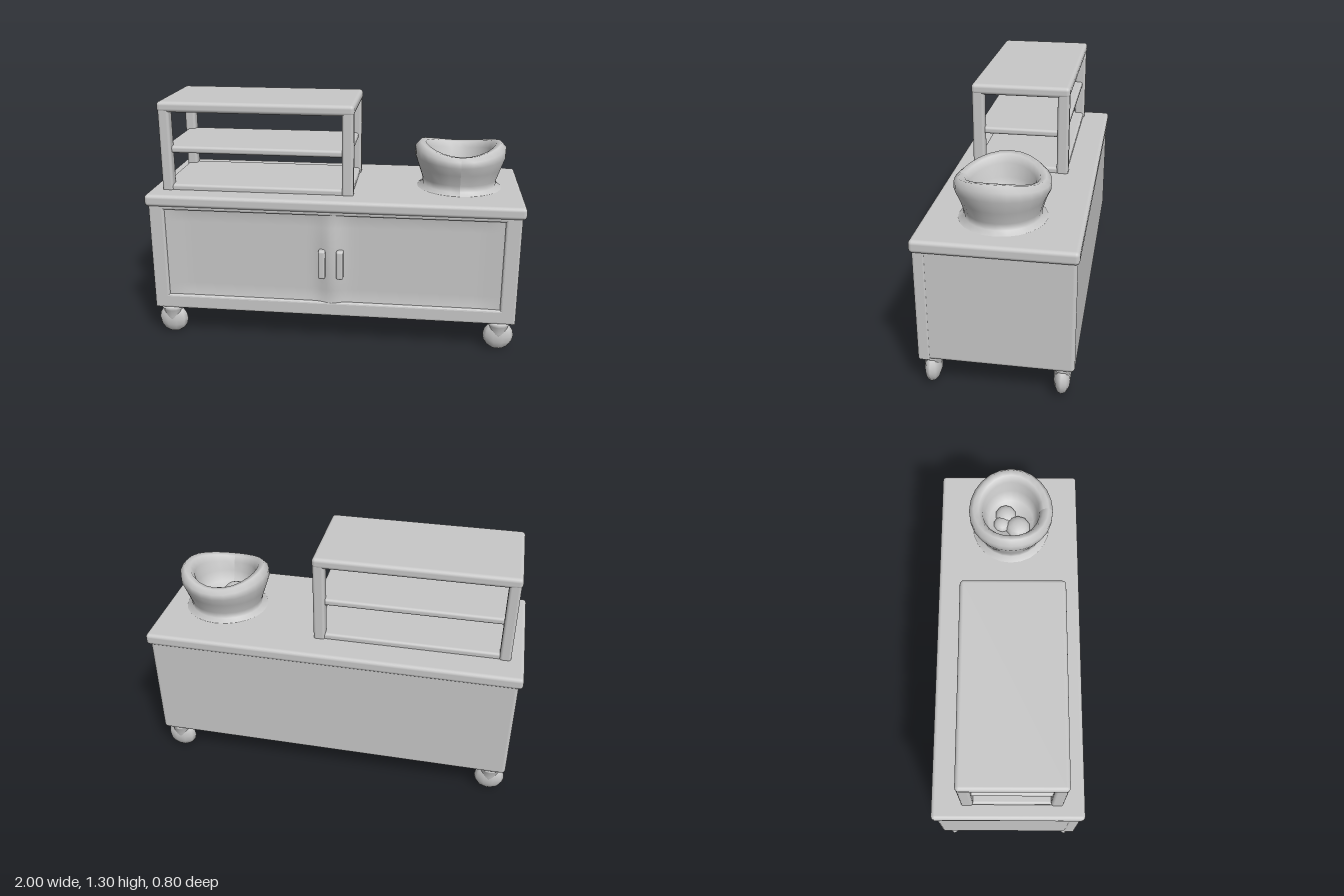
import * as THREE from 'three';
import { RoundedBoxGeometry } from 'three/addons/geometries/RoundedBoxGeometry.js';

const grey = new THREE.MeshStandardMaterial({ color: 0xc8c8c8 });
grey.name = 'plain grey';

function add(parent, name, geometry, x = 0, y = 0, z = 0) {
  const mesh = new THREE.Mesh(geometry, grey);
  mesh.name = name;
  mesh.position.set(x, y, z);
  parent.add(mesh);
  return mesh;
}

// Soft-edged box given by its limits on each axis
function block(parent, name, [x0, x1], [y0, y1], [z0, z1], r) {
  return add(parent, name, new RoundedBoxGeometry(x1 - x0, y1 - y0, z1 - z0, 3, r),
    (x0 + x1) / 2, (y0 + y1) / 2, (z0 + z1) / 2);
}

const lathe = (points, sides) =>
  new THREE.LatheGeometry(points.map(([r, y]) => new THREE.Vector2(r, y)), sides);

function rectangle(Type, x0, x1, y0, y1) {
  const p = new Type();
  p.moveTo(x0, y0);
  p.lineTo(x1, y0);
  p.lineTo(x1, y1);
  p.lineTo(x0, y1);
  p.closePath();
  return p;
}

function buildCabinet() {
  const cabinet = new THREE.Group();
  cabinet.name = 'cabinet';
  block(cabinet, 'body', [-0.98, 0.98], [0.165, 0.79], [-0.39, 0.345], 0.02);
  block(cabinet, 'counter', [-1, 1], [0.755, 0.82], [-0.4, 0.385], 0.02);

  // Raised frame around the doors
  const outline = rectangle(THREE.Shape, -0.97, 0.97, 0.178, 0.77);
  outline.holes.push(rectangle(THREE.Path, -0.91, 0.91, 0.235, 0.75));
  add(cabinet, 'door frame', new THREE.ExtrudeGeometry(outline, {
    depth: 0.04, bevelEnabled: true, bevelSize: 0.012, bevelThickness: 0.012, bevelSegments: 3,
  }), 0, 0, 0.323);

  // Two doors in one soft surface, swelling where they meet
  const doors = new THREE.PlaneGeometry(1.84, 0.53, 72, 12);
  const p = doors.attributes.position;
  for (let i = 0; i < p.count; i++) {
    const x = p.getX(i), y = p.getY(i);
    const ridge = Math.exp(-((x / 0.06) ** 2)) * (1 - (y / 0.34) ** 2);
    const edge = Math.max(Math.abs(x) / 0.92, Math.abs(y) / 0.265);
    p.setZ(i, 0.03 * ridge + 0.01 * Math.max(0, edge - 0.85) / 0.15);
  }
  doors.computeVertexNormals();
  add(cabinet, 'doors', doors, 0, 0.493, 0.353);

  for (const s of [-1, 1]) {
    const x = s * 0.048;
    block(cabinet, 'door handle', [x - 0.019, x + 0.019], [0.39, 0.55], [0.35, 0.402], 0.012);
  }
  return cabinet;
}

function buildRack() {
  const rack = new THREE.Group();
  rack.name = 'display rack';
  for (const [x0, x1] of [[-0.93, -0.87], [0.045, 0.107]]) {
    for (const [z0, z1] of [[-0.248, -0.185], [0.21, 0.275]]) {
      block(rack, 'post', [x0, x1], [0.81, 1.28], [z0, z1], 0.015);
    }
  }
  block(rack, 'rack top', [-0.935, 0.11], [1.243, 1.3], [-0.25, 0.278], 0.02);
  block(rack, 'middle shelf', [-0.915, 0.09], [1.02, 1.057], [-0.23, 0.255], 0.014);
  block(rack, 'bottom shelf', [-0.925, 0.1], [0.81, 0.85], [-0.24, 0.268], 0.014);
  return rack;
}

function buildBowl() {
  const bowl = new THREE.Group();
  bowl.name = 'bowl';
  const shell = lathe([
    [0.235, 0.815], [0.195, 0.835], [0.198, 0.87], [0.218, 0.93], [0.24, 0.985], [0.24, 1.025],
    [0.215, 1.05], [0.185, 1.045], [0.165, 1.01], [0.155, 0.95], [0.13, 0.89], [0.001, 0.875],
  ], 24);
  // The rim rises toward both ends and dips at front and back
  const p = shell.attributes.position;
  for (let i = 0; i < p.count; i++) {
    const x = p.getX(i), y = p.getY(i), z = p.getZ(i);
    const lift = Math.max(0, (y - 0.93) / 0.12);
    const a = Math.atan2(z, x);
    p.setY(i, y + lift * 0.022 * Math.cos(2 * a));
    p.setX(i, x * 1.02);
    p.setZ(i, z * 0.97);
  }
  shell.computeVertexNormals();
  add(bowl, 'bowl shell', shell);

  // Lumpy heap in the bottom
  for (const [x, z, r] of [[-0.04, 0.04, 0.07], [0.04, -0.03, 0.06], [-0.02, -0.05, 0.05]]) {
    add(bowl, 'filling', new THREE.SphereGeometry(r, 10, 8), x, 0.88, z).scale.y = 0.7;
  }
  bowl.position.set(0.665, 0, 0.003);
  return bowl;
}

function buildCaster(x, z) {
  const caster = new THREE.Group();
  caster.name = 'caster';
  add(caster, 'caster fork', lathe([
    [0.001, 0.05], [0.04, 0.06], [0.05, 0.1], [0.053, 0.14], [0.075, 0.17], [0.001, 0.175],
  ], 12)).scale.z = 0.85;
  add(caster, 'wheel', new THREE.SphereGeometry(0.082, 10, 8), 0, 0.082, 0).scale.z = 0.52;
  caster.position.set(x, 0, z);
  return caster;
}

export function createModel() {
  const cart = new THREE.Group();
  cart.name = 'serving cart';
  cart.add(buildCabinet(), buildRack(), buildBowl());
  for (const x of [-0.9, 0.9]) {
    for (const z of [-0.325, 0.32]) cart.add(buildCaster(x, z));
  }
  return cart;
}
